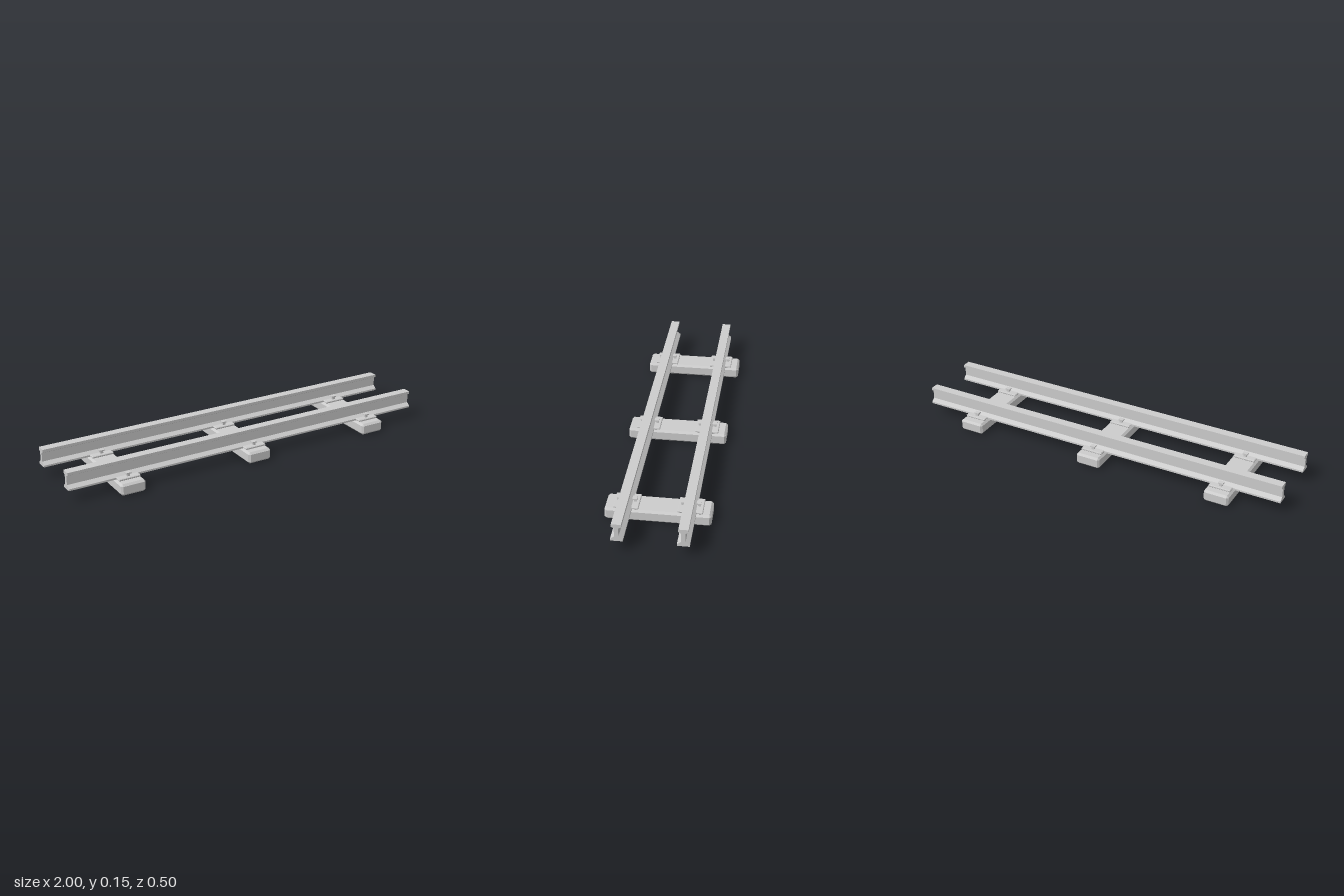
import * as THREE from 'three';
import { ConvexGeometry } from 'three/addons/geometries/ConvexGeometry.js';

const steel = new THREE.MeshStandardMaterial({ color: 0xcccccc });
steel.name = 'plain grey';

// Box with every edge and corner chamfered by c, standing on y = 0
function chamferBox(w, h, d, c) {
  const points = [];
  const [x, y, z] = [w / 2, h / 2, d / 2];
  for (const sx of [-1, 1]) for (const sy of [-1, 1]) for (const sz of [-1, 1]) {
    points.push(
      new THREE.Vector3(sx * x, h / 2 + sy * (y - c), sz * (z - c)),
      new THREE.Vector3(sx * (x - c), h / 2 + sy * y, sz * (z - c)),
      new THREE.Vector3(sx * (x - c), h / 2 + sy * (y - c), sz * z));
  }
  return new ConvexGeometry(points);
}

// Rail section extruded along x
function railGeometry() {
  const half = [
    [0.029, 0.06], [0.029, 0.069], [0.01, 0.084],
    [0.01, 0.129], [0.0228, 0.136], [0.0228, 0.15],
  ];
  const outline = [...half, ...half.map(([x, y]) => [-x, y]).reverse()];
  const shape = new THREE.Shape(outline.map(([x, y]) => new THREE.Vector2(x, y)));
  const geometry = new THREE.ExtrudeGeometry(shape, { depth: 2, bevelEnabled: false });
  return geometry.translate(0, 0, -1).rotateY(Math.PI / 2);
}

export function createModel() {
  const track = new THREE.Group();
  track.name = 'railwayTrack';
  const add = (parent, name, geometry, x, y, z) => {
    const mesh = new THREE.Mesh(geometry, steel);
    mesh.name = name;
    mesh.position.set(x, y, z);
    parent.add(mesh);
  };

  const rail = railGeometry();
  const sleeper = chamferBox(0.13, 0.06, 0.5, 0.01);
  const plate = chamferBox(0.114, 0.011, 0.119, 0.003);
  const boltStem = new THREE.BoxGeometry(0.014, 0.016, 0.014);
  const boltHead = new THREE.BoxGeometry(0.026, 0.006, 0.022);

  // Two rails
  for (const z of [-0.15, 0.15]) add(track, 'rail', rail, 0, 0, z);

  // Sleepers, each with a fastening under both rails
  for (const x of [-0.7, 0, 0.7]) {
    add(track, 'sleeper', sleeper, x, 0, 0);
    for (const z of [-0.15, 0.15]) {
      const fastening = new THREE.Group();
      fastening.name = 'railFastening';
      fastening.position.set(x, 0, z);
      track.add(fastening);
      add(fastening, 'basePlate', plate, 0, 0.06, 0);
      for (const side of [-1, 1]) {
        add(fastening, 'boltStem', boltStem, 0, 0.077, side * 0.038);
        add(fastening, 'boltHead', boltHead, 0, 0.086, side * 0.036);
      }
    }
  }
  return track;
}
